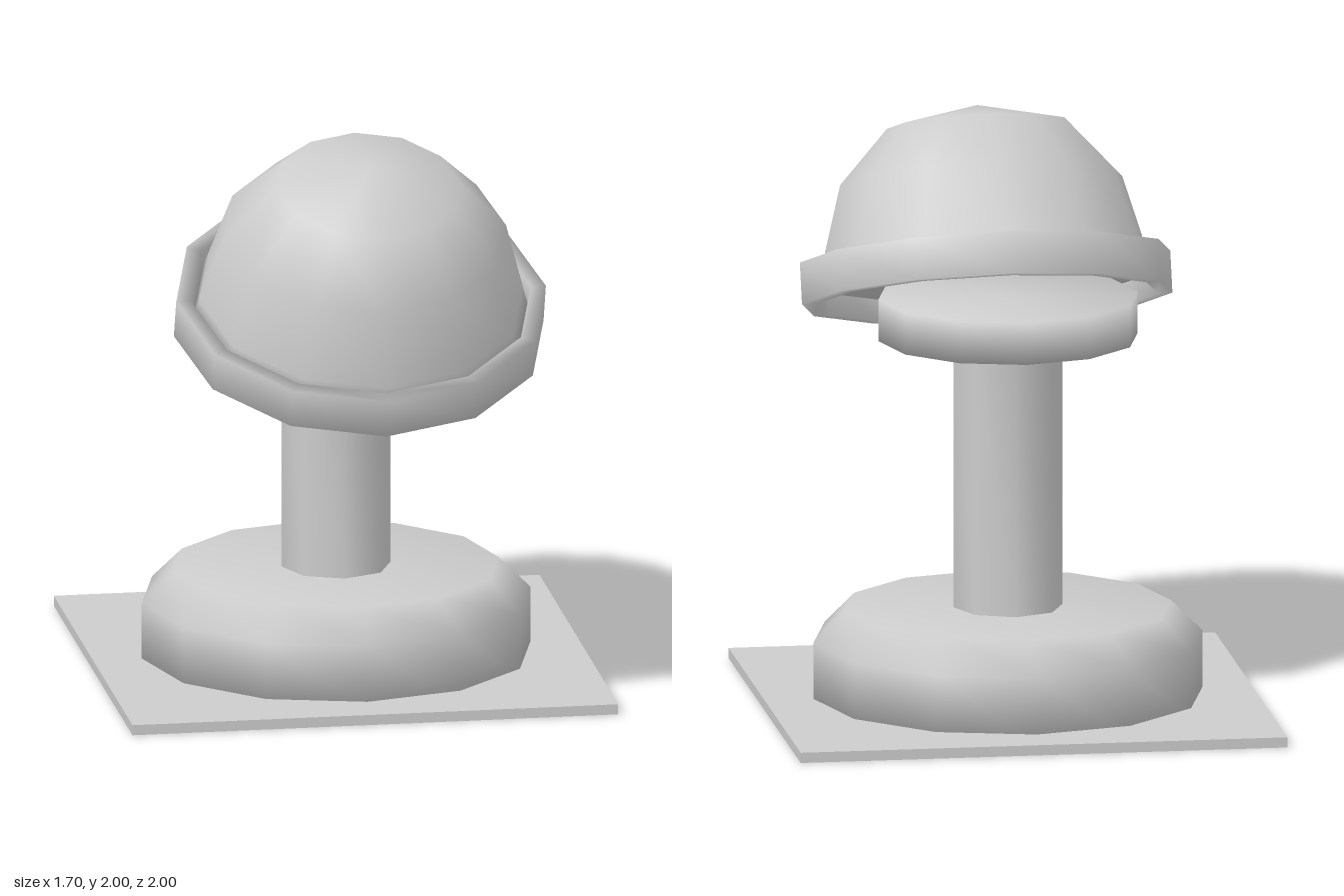
import * as THREE from 'three';
import { mergeVertices } from 'three/addons/utils/BufferGeometryUtils.js';

const CENTRE_Z = -0.145; // shared axis of base, column and top disc
const TILT = THREE.MathUtils.degToRad(20.1);

// Low-poly turned part, shaded smoothly over all its edges. Profile: [radius, height], bottom to top.
function turned(profile, sides) {
  const lathe = new THREE.LatheGeometry(profile.map(([r, y]) => new THREE.Vector2(r, y)), sides);
  lathe.deleteAttribute('uv');
  lathe.deleteAttribute('normal');
  const geometry = mergeVertices(lathe, 1e-4);
  geometry.computeVertexNormals();
  return geometry;
}

export function createModel() {
  const model = new THREE.Group();
  const grey = new THREE.MeshStandardMaterial({ color: 0xcccccc });
  grey.name = 'lightGrey';

  function add(name, geometry, parent = model) {
    const mesh = new THREE.Mesh(geometry, grey);
    mesh.name = name;
    parent.add(mesh);
    return mesh;
  }

  // Square floor plate
  add('floorPlate', new THREE.BoxGeometry(1.7, 0.036, 1.7)).position.set(0, 0.019, CENTRE_Z);

  // Round base with a bevelled top, its underside flush with the plate
  add('base', turned([[0, 0], [0.68, 0], [0.68, 0.235], [0.57, 0.345], [0, 0.345]], 12)).position.z = CENTRE_Z;

  // Column
  add('column', turned([[0.19, 0.33], [0.19, 1.31]], 8)).position.z = CENTRE_Z;

  // Disc on top of the column
  add('topDisc', turned([[0, 1.295], [0.453, 1.295], [0.453, 1.442], [0, 1.442]], 12)).position.z = CENTRE_Z;

  // Head: dome and rim, tipped forward over the front edge of the disc
  const head = new THREE.Group();
  head.name = 'head';
  head.position.set(0, 1.393, 0.37);
  head.rotation.x = TILT;
  model.add(head);

  add('dome', turned([[0, 0], [0.587, 0], [0.566, 0.075], [0.493, 0.338], [0.32, 0.529], [0, 0.602]], 12), head);
  add('rim', turned([[0.594, -0.073], [0.647, -0.073], [0.647, 0.073], [0.594, 0.073], [0.594, -0.073]], 12), head);

  return model;
}
